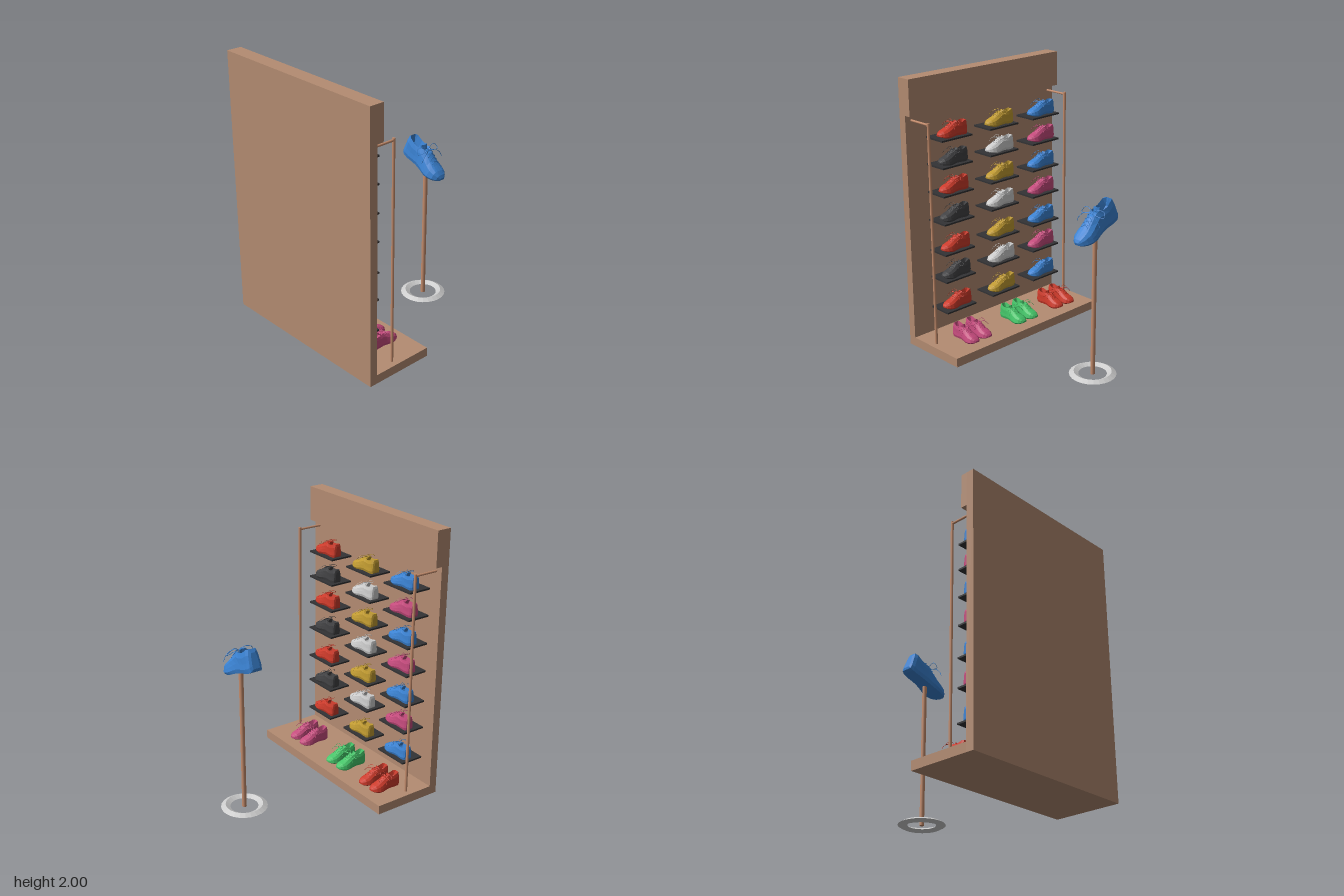
import * as THREE from 'three';
import { mergeGeometries } from 'three/addons/utils/BufferGeometryUtils.js';

const mat = (color, extra = {}) => new THREE.MeshStandardMaterial({ color, ...extra });
const WOOD = mat(0xb48c72), POLE = mat(0xc48c6c), SHELF = mat(0x333335);
const METAL = mat(0xcccccc, { flatShading: true });
const shoeMat = (c) => mat(c, { flatShading: true, side: THREE.DoubleSide });
const COLORS = {
  red: shoeMat(0xcc3a2a), black: shoeMat(0x404042), gold: shoeMat(0xc09a30), silver: shoeMat(0xcccccc),
  blue: shoeMat(0x3a82d2), pink: shoeMat(0xc44a7c), green: shoeMat(0x44c468),
};

function add(parent, name, geometry, material, x, y, z) {
  const mesh = new THREE.Mesh(geometry, material);
  mesh.name = name;
  mesh.position.set(x, y, z);
  parent.add(mesh);
  return mesh;
}

// Box given by its minimum and maximum along each axis
function slab(parent, name, material, [x0, x1], [y0, y1], [z0, z1]) {
  return add(parent, name, new THREE.BoxGeometry(x1 - x0, y1 - y0, z1 - z0), material,
    (x0 + x1) / 2, (y0 + y1) / 2, (z0 + z1) / 2);
}

// Shoe body lofted from heel (-x) to toe (+x)
// station: x, half width, rim height, rim half width, sole height, depth of opening
function shoeBody() {
  const stations = [
    [-0.117, 0.018, 0.080, 0.010, 0.014, 0.000],
    [-0.112, 0.030, 0.096, 0.018, 0.004, 0.000],
    [-0.098, 0.036, 0.096, 0.024, 0.000, 0.040],
    [-0.070, 0.038, 0.086, 0.027, 0.000, 0.050],
    [-0.040, 0.038, 0.086, 0.025, 0.003, 0.045],
    [-0.018, 0.039, 0.094, 0.020, 0.004, 0.008],
    [0.010, 0.043, 0.080, 0.020, 0.003, -0.006],
    [0.040, 0.049, 0.064, 0.023, 0.000, -0.006],
    [0.065, 0.050, 0.053, 0.026, 0.001, -0.005],
    [0.090, 0.043, 0.045, 0.025, 0.005, -0.003],
    [0.108, 0.029, 0.036, 0.017, 0.010, -0.001],
    [0.118, 0.013, 0.027, 0.008, 0.015, 0.000],
  ];
  const pos = [], index = [];
  for (const [x, w, h, rim, b, dip] of stations) {
    const half = [[w * 0.88, b], [w, b + (h - b) * 0.2], [w * 0.92, b + (h - b) * 0.45],
      [(w * 0.6 + rim * 0.4), b + (h - b) * 0.75], [rim, h], [rim * 0.6, h - dip * 0.8]];
    const ring = [[0, b], ...half, [0, h - dip], ...half.slice().reverse().map(([z, y]) => [-z, y])];
    for (const [z, y] of ring) pos.push(x, y, z);
  }
  const n = 14, last = (stations.length - 1) * n;
  for (let i = 0; i < stations.length - 1; i++) {
    for (let j = 0; j < n; j++) {
      const a = i * n + j, b = i * n + (j + 1) % n;
      index.push(a, a + n, b, b, a + n, b + n);
    }
  }
  for (let j = 1; j < n - 1; j++) {
    index.push(0, j, j + 1, last, last + j + 1, last + j);
  }
  const g = new THREE.BufferGeometry();
  g.setAttribute('position', new THREE.Float32BufferAttribute(pos, 3));
  g.setIndex(index);
  g.computeVertexNormals();
  return g;
}

// Crossed lacing, bow loops and loose ends
function shoeLaces() {
  const tube = (pts, segs, r) => new THREE.TubeGeometry(
    new THREE.CatmullRomCurve3(pts.map((p) => new THREE.Vector3(...p))), segs, r, 4);
  const parts = [];
  for (const s of [1, -1]) {
    for (let i = 0; i < 4; i++) {
      const x = -0.008 + i * 0.016, y = 0.092 - i * 0.0085;
      parts.push(tube([[x, y, s * 0.02], [x + 0.008, y + 0.004, 0], [x + 0.016, y - 0.007, -s * 0.021]], 4, 0.0016));
    }
    parts.push(tube([[-0.008, 0.094, 0], [-0.016, 0.106, s * 0.025], [-0.022, 0.098, s * 0.056],
      [-0.004, 0.084, s * 0.064], [0.002, 0.09, s * 0.03], [-0.004, 0.094, 0]], 16, 0.0013));
    parts.push(tube([[-0.006, 0.094, 0], [0.012, 0.1, s * 0.028], [0.024, 0.082, s * 0.054],
      [0.03, 0.062, s * 0.066]], 10, 0.0013));
  }
  return mergeGeometries(parts);
}

// Tongue standing up in front of the opening
function shoeTongue() {
  const g = new THREE.BoxGeometry(0.007, 0.04, 0.034, 1, 2, 2);
  const p = g.attributes.position;
  for (let i = 0; i < p.count; i++) p.setX(i, p.getX(i) - Math.abs(p.getZ(i)) * 0.4);
  g.rotateZ(0.45);
  g.translate(-0.024, 0.084, 0);
  g.computeVertexNormals();
  return g;
}

export function createModel() {
  const model = new THREE.Group();
  model.name = 'shoeDisplay';

  const shoeParts = { shoeBody: shoeBody(), shoeLaces: shoeLaces(), shoeTongue: shoeTongue() };
  function shoe(name, color, x, y, z) {
    const g = new THREE.Group();
    g.name = name;
    for (const [part, geometry] of Object.entries(shoeParts)) add(g, part, geometry, COLORS[color], 0, 0, 0);
    g.position.set(x, y, z);
    model.add(g);
    return g;
  }

  // Wall with header and plinth
  const W = [-0.685, 0.685];
  slab(model, 'wallPanel', WOOD, W, [0.07, 2], [0.602, 0.66]);
  slab(model, 'header', WOOD, W, [1.75, 2], [0.553, 0.602]);
  slab(model, 'plinth', WOOD, W, [0.07, 0.135], [0.145, 0.602]);

  // Side poles with a short arm back to the wall
  for (const s of [1, -1]) {
    const x = s * 0.635;
    add(model, 'sidePole', new THREE.CylinderGeometry(0.01, 0.01, 1.59, 12), POLE, x, 0.93, 0.424);
    const arm = add(model, 'poleArm', new THREE.CylinderGeometry(0.008, 0.008, 0.185, 10), POLE, x, 1.711, 0.512);
    arm.rotation.x = Math.PI / 2;
  }

  // Shelves, each with one shoe; colours alternate by row
  const rows = [1.58, 1.39, 1.19, 0.988, 0.764, 0.562, 0.329];
  const columns = [
    { x: 0.386, colors: ['red', 'black'], floor: 'pink', floorX: 0.384 },
    { x: -0.042, colors: ['gold', 'silver'], floor: 'green', floorX: -0.072 },
    { x: -0.45, colors: ['blue', 'pink'], floor: 'red', floorX: -0.455 },
  ];
  for (const { x, colors, floor, floorX } of columns) {
    rows.forEach((y, i) => {
      slab(model, 'shelf', SHELF, [x - 0.133, x + 0.133], [y - 0.012, y], [0.43, 0.604]);
      shoe('shelfShoe', colors[i % 2], x - 0.003, y, 0.493);
    });
    // Pair standing on the plinth, toes outward
    for (const s of [1, -1]) {
      shoe('floorShoe', floor, floorX + s * 0.059, 0.137, 0.328).rotation.y = Math.PI / 2;
    }
  }

  // Free stand: ring foot, pole and a large tilted shoe
  const sx = 0.015, sz = -0.493;
  const ring = new THREE.TorusGeometry(0.131, 0.033, 4, 24);
  ring.rotateX(-Math.PI / 2);
  ring.scale(1, 0.56, 1);
  add(model, 'standRing', ring, METAL, sx, 0.0185, sz);
  add(model, 'standPole', new THREE.CylinderGeometry(0.016, 0.016, 1.03, 14), POLE, sx, 0.53, sz);
  const big = shoe('largeShoe', 'blue', -0.005, 1.047, -0.488);
  big.scale.set(1.6, 1.6, 1.52);
  big.rotation.z = -0.37;

  return model;
}
